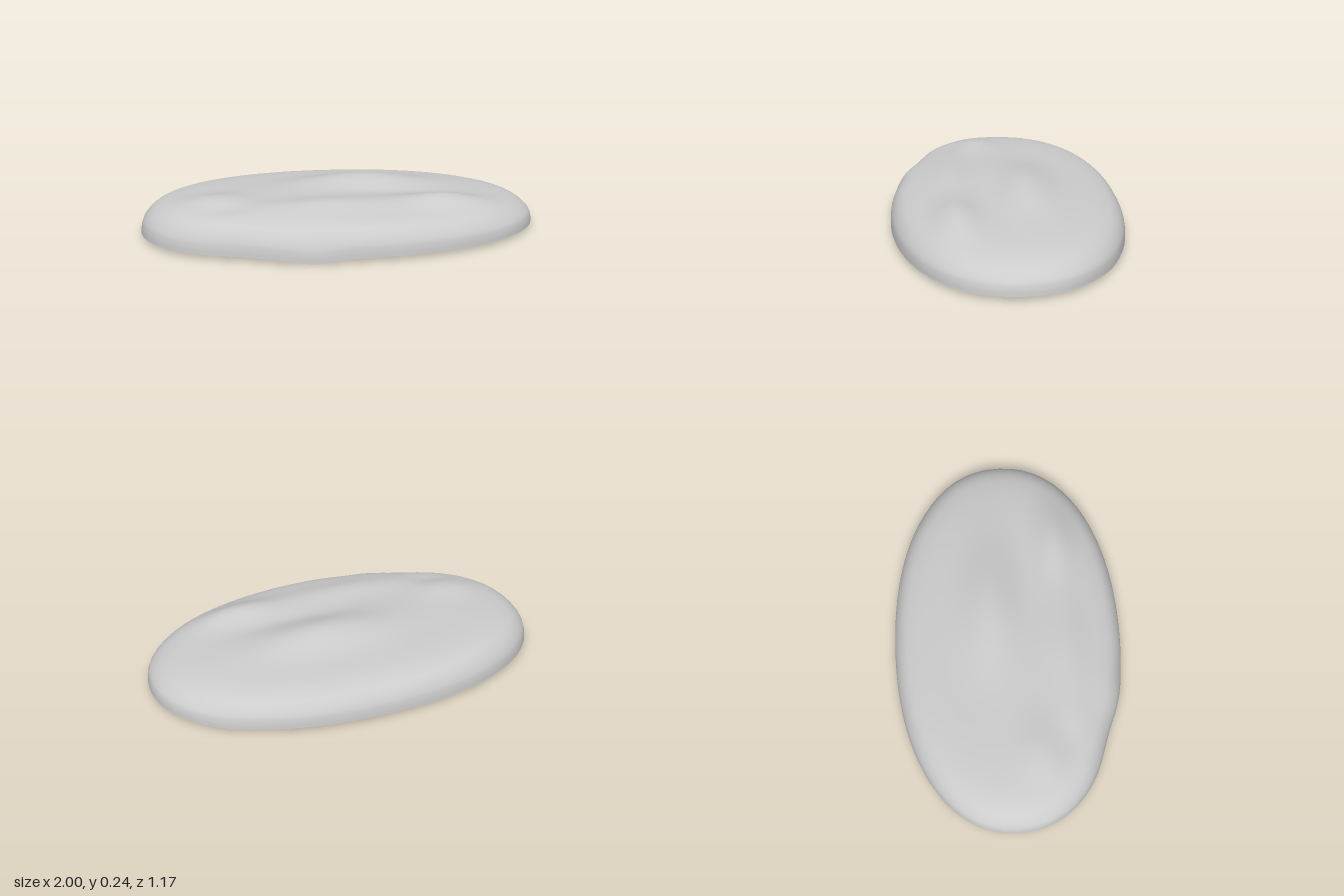
import * as THREE from 'three';

// Shell profile from centre to rim: [radius fraction, height]
const PROFILE = [
  [0, 0.203], [0.25, 0.2], [0.5, 0.19], [0.7, 0.179], [0.82, 0.165], [0.9, 0.145],
  [0.95, 0.117], [0.985, 0.08], [0.996, 0.05], [1, 0.02],
];

// Swells and hollows on top: x, z, reach in x, reach in z, height
const SWELLS = [
  [0.13, -0.09, 0.33, 0.13, 0.045],
  [0.5, 0.27, 0.22, 0.1, 0.046],
  [-0.1, 0.29, 0.35, 0.1, 0.024],
  [-0.65, 0.13, 0.15, 0.1, 0.026],
  [-0.6, 0.27, 0.1, 0.06, -0.012],
  [-0.3, -0.15, 0.2, 0.15, -0.006],
  [0.25, 0.1, 0.25, 0.07, -0.008],
];

const bell = (d, reach) => Math.exp(-((d / reach) ** 2));

// Slightly squarish oval outline, flattened at the front right
function outline(angle) {
  const c = Math.cos(angle), s = Math.sin(angle), n = 2.17;
  const k = (Math.abs(c) ** n + Math.abs(s / 0.585) ** n) ** (-1 / n);
  const x = k * c, z = k * s;
  const cut = 1 - 0.04 * bell(x + 0.56, 0.17) * (z > 0 ? 1 : 0);
  return [x * cut, z * cut];
}

function surfacePoint(angle, r, baseY) {
  const [ox, oz] = outline(angle);
  const x = ox * r, z = oz * r;
  const fade = 1 - r ** 6;
  let y = baseY - 0.014 * x * (1 - r ** 20);
  for (const [cx, cz, sx, sz, h] of SWELLS) y += h * fade * bell(x - cx, sx) * bell(z - cz, sz);
  // Rim sags a little at the front and the back
  const sag = z > 0 ? 0.02 * bell(x + 0.2, 0.11) : 0.006 * bell(x - 0.73, 0.1);
  y -= sag * r ** 10;
  return [x, y, z];
}

export function createModel() {
  const group = new THREE.Group();
  const curve = new THREE.CatmullRomCurve3(
    PROFILE.map(([r, y]) => new THREE.Vector3(r, y, 0)), false, 'centripetal');
  const rings = 45, sides = 96;
  const positions = [], indices = [];

  // Centre point, then concentric rings out to the open rim
  positions.push(...surfacePoint(0, 0, PROFILE[0][1]));
  for (let i = 1; i <= rings; i++) {
    const p = curve.getPoint(i / rings);
    for (let j = 0; j < sides; j++) {
      positions.push(...surfacePoint((j / sides) * Math.PI * 2, p.x, p.y));
    }
  }
  const at = (i, j) => 1 + (i - 1) * sides + (j % sides);
  for (let j = 0; j < sides; j++) {
    indices.push(0, at(1, j + 1), at(1, j));
    for (let i = 1; i < rings; i++) {
      const a = at(i, j), b = at(i, j + 1), c = at(i + 1, j), d = at(i + 1, j + 1);
      indices.push(a, b, c, b, d, c);
    }
  }

  const geometry = new THREE.BufferGeometry();
  geometry.setAttribute('position', new THREE.Float32BufferAttribute(positions, 3));
  geometry.setIndex(indices);
  geometry.computeVertexNormals();

  // Hollow underneath, so both faces show
  const shell = new THREE.Mesh(geometry,
    new THREE.MeshStandardMaterial({ color: 0xcccccc, side: THREE.DoubleSide }));
  shell.name = 'moundShell';
  group.add(shell);
  return group;
}
